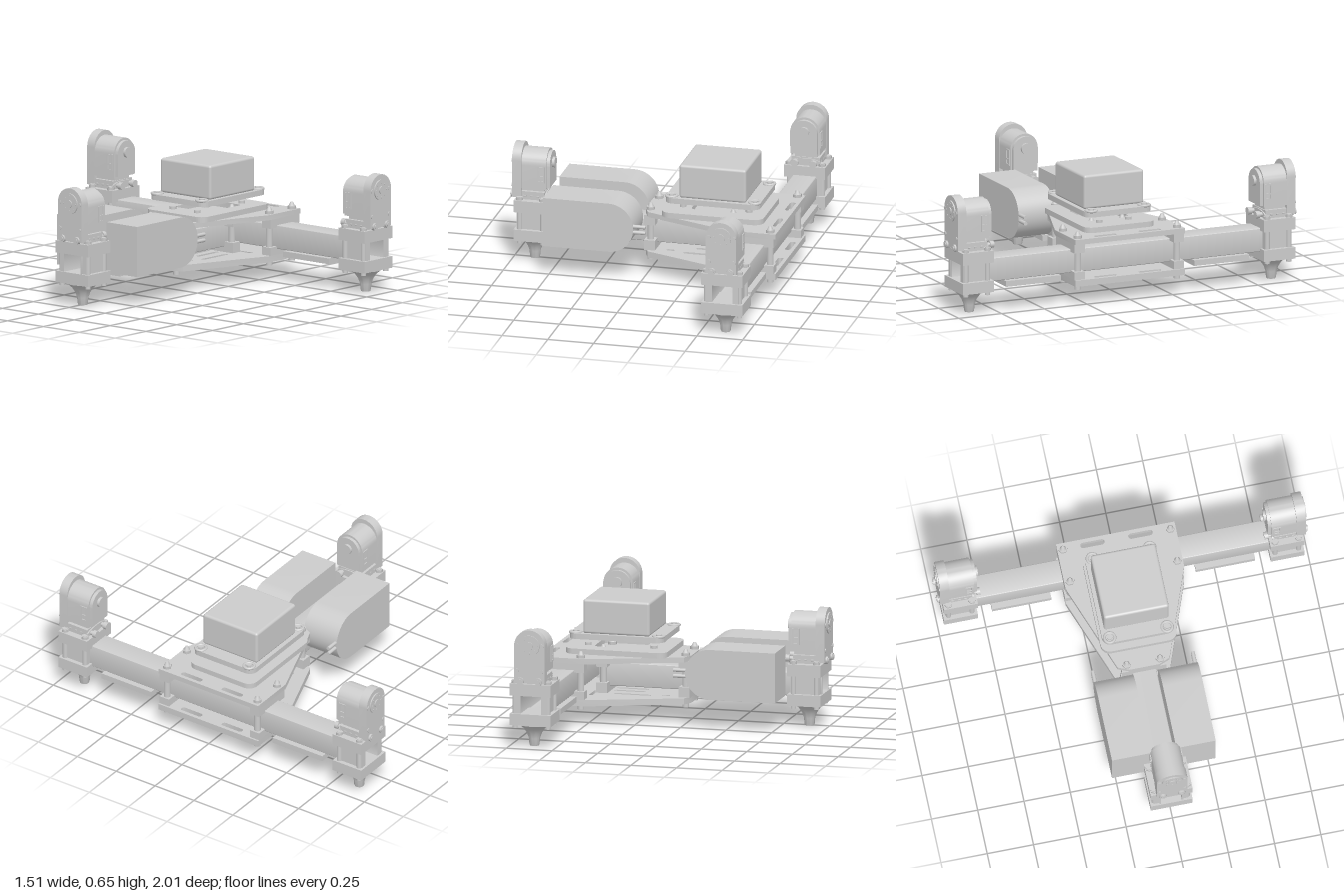
import * as THREE from 'three';
import { RoundedBoxGeometry } from 'three/addons/geometries/RoundedBoxGeometry.js';
import { toCreasedNormals } from 'three/addons/utils/BufferGeometryUtils.js';

const grey = new THREE.MeshStandardMaterial({ color: 0xcccccc });
const sheet = new THREE.MeshStandardMaterial({ color: 0xcccccc, side: THREE.DoubleSide });

function add(parent, name, geo, x = 0, y = 0, z = 0, mat = grey) {
  const m = new THREE.Mesh(geo, mat);
  m.name = name;
  m.position.set(x, y, z);
  parent.add(m);
  return m;
}

// box given by its limits
function block(parent, name, x0, x1, y0, y1, z0, z1) {
  return add(parent, name, new THREE.BoxGeometry(x1 - x0, y1 - y0, z1 - z0),
    (x0 + x1) / 2, (y0 + y1) / 2, (z0 + z1) / 2);
}

// cylinder along y, or along z when asked
function rod(parent, name, r, x, y, z, len, alongZ = false, sides = 16) {
  const m = add(parent, name, new THREE.CylinderGeometry(r, r, len, sides), x, y, z);
  if (alongZ) m.rotation.x = Math.PI / 2;
  return m;
}

const extrude = (shape, depth) => toCreasedNormals(
  new THREE.ExtrudeGeometry(shape, { depth, bevelEnabled: false, curveSegments: 14 }), 0.5);

// horizontal plate drawn in x and z
const plate = (shape, thick) => extrude(shape, thick).rotateX(Math.PI / 2);

// rounded rectangle, as Shape or Path
function roundRect(Type, x0, x1, y0, y1, r) {
  const s = new Type();
  s.absarc(x1 - r, y1 - r, r, 0, Math.PI / 2);
  s.absarc(x0 + r, y1 - r, r, Math.PI / 2, Math.PI);
  s.absarc(x0 + r, y0 + r, r, Math.PI, Math.PI * 1.5);
  s.absarc(x1 - r, y0 + r, r, Math.PI * 1.5, Math.PI * 2);
  s.closePath();
  return s;
}

// upright slab with a half-round top
function arch(r, base, centre) {
  const s = new THREE.Shape();
  s.moveTo(-r, base);
  s.lineTo(r, base);
  s.absarc(0, centre, r, 0, Math.PI);
  s.closePath();
  return s;
}

// square tube along z
function tube(length) {
  const s = roundRect(THREE.Shape, -0.064, 0.064, -0.064, 0.064, 0.006);
  s.holes.push(roundRect(THREE.Path, -0.056, 0.056, -0.056, 0.056, 0.004));
  return extrude(s, length).translate(0, 0, -length / 2);
}

// body plate outline with slots
function bodyPlate(extraSlots) {
  const half = [[-0.015, 0.08], [0.01, 0.14], [0.5, 0.32], [0.755, 0.32]];
  const pts = [...half, ...half.map(([x, z]) => [x, -z]).reverse()];
  const s = new THREE.Shape(pts.map(([x, z]) => new THREE.Vector2(x, z)));
  const slots = [[0.705, 0.735, 0.065, 0.195], [0.1, 0.145, 0.08, 0.1], ...extraSlots];
  for (const [x0, x1, z0, z1] of slots) {
    const r = Math.min(x1 - x0, z1 - z0) * 0.49;
    s.holes.push(roundRect(THREE.Path, x0, x1, z0, z1, r), roundRect(THREE.Path, x0, x1, -z1, -z0, r));
  }
  return s;
}

// arm-end assembly, +z pointing outward
function makeEnd() {
  const g = new THREE.Group();
  g.name = 'armEnd';
  // foot
  const prof = [[0, 0], [0.024, 0], [0.027, 0.008], [0.03, 0.04], [0.04, 0.068], [0.056, 0.092], [0.078, 0.112], [0.086, 0.116], [0.086, 0.125], [0, 0.125]];
  add(g, 'foot', toCreasedNormals(new THREE.LatheGeometry(prof.map(p => new THREE.Vector2(...p)), 28), 0.6));
  // tube clamp
  block(g, 'lowerClamp', -0.113, 0.113, 0.12, 0.182, -0.093, 0.09);
  block(g, 'upperClamp', -0.113, 0.113, 0.28, 0.345, -0.093, 0.09);
  for (const s of [-1, 1]) {
    const x = s * 0.076;
    block(g, 'clampWall', x - 0.014, x + 0.014, 0.18, 0.282, -0.08, 0.078);
    for (const z of [-0.065, 0.062]) {
      rod(g, 'clampBolt', 0.014, s * 0.09, 0.233, z, 0.26, false, 12);
      rod(g, 'clampNut', 0.02, s * 0.09, 0.352, z, 0.016, false, 6);
    }
    // pivot
    rod(g, 'pivotBolt', 0.012, s * 0.05, 0.365, 0.005, 0.23, true, 12);
    for (const e of [-1, 1]) rod(g, 'pivotHead', 0.02, s * 0.05, 0.365, e * 0.105, 0.022, true, 12);
  }
  block(g, 'pivotBase', -0.078, 0.078, 0.345, 0.39, -0.07, 0.07);
  for (let i = -2; i <= 2; i++) rod(g, 'pivotRib', 0.02, 0, 0.365, i * 0.035, 0.014, true).scale.set(4.1, 1, 1);
  // motor housing
  block(g, 'motorNeck', -0.06, 0.06, 0.385, 0.41, -0.065, 0.065);
  add(g, 'motorBody', extrude(arch(0.08, 0.408, 0.535), 0.135), 0, 0, -0.08);
  add(g, 'innerCover', extrude(arch(0.07, 0.415, 0.533), 0.02), 0, 0, -0.098);
  add(g, 'outerCover', extrude(arch(0.083, 0.355, 0.557), 0.05), 0, 0, 0.055);
  // output discs and screws
  rod(g, 'outputDisc', 0.056, 0, 0.557, 0.107, 0.01, true, 32);
  rod(g, 'outputHub', 0.022, 0, 0.557, 0.111, 0.012, true);
  rod(g, 'innerHub', 0.028, 0, 0.54, -0.102, 0.02, true);
  for (let i = 0; i < 8; i++) {
    const a = i * Math.PI / 4;
    rod(g, 'discScrew', 0.006, 0.04 * Math.cos(a), 0.557 + 0.04 * Math.sin(a), 0.112, 0.004, true, 8);
  }
  for (const s of [-1, 1]) {
    for (const y of [0.42, 0.557]) rod(g, 'coverScrew', 0.011, s * 0.068, y, 0.106, 0.006, true, 10);
    // side port frames
    const x = s * 0.081;
    for (const z of [-0.07, -0.036]) block(g, 'portFrame', x - 0.004, x + 0.004, 0.45, 0.53, z - 0.004, z + 0.004);
    for (const y of [0.45, 0.48, 0.53]) block(g, 'portFrame', x - 0.004, x + 0.004, y - 0.004, y + 0.004, -0.074, -0.032);
  }
  return g;
}

export function createModel() {
  const root = new THREE.Group();
  root.name = 'tripodRobot';

  // body plates
  add(root, 'lowerPlate', plate(bodyPlate([[0.2, 0.4, 0.1, 0.125], [0.25, 0.42, 0.02, 0.045], [0.5, 0.52, 0.06, 0.19]]), 0.034), 0, 0.135);
  add(root, 'upperPlate', plate(bodyPlate([]), 0.028), 0, 0.356);

  // square tubes
  add(root, 'crossTube', tube(1.92), 0.628, 0.229, 0);
  add(root, 'longTube', tube(1.22), -0.115, 0.229, 0).rotation.y = Math.PI / 2;

  // tube clamps and bolts between the plates
  for (const s of [-1, 1]) {
    const z = s * 0.29;
    block(root, 'crossClampTop', 0.51, 0.745, 0.28, 0.33, z - 0.03, z + 0.03);
    block(root, 'crossClampBottom', 0.51, 0.745, 0.133, 0.178, z - 0.03, z + 0.03);
    for (const [x, bz] of [[0.535, z], [0.718, z], [0.015, s * 0.09], [0.465, s * 0.09]]) {
      rod(root, 'plateBolt', 0.018, x, 0.23, bz, 0.26, false, 12);
      rod(root, 'boltHead', 0.017, x, 0.092, bz, 0.026);
      rod(root, 'boltNut', 0.024, x, 0.364, bz, 0.016, false, 6);
      add(root, 'boltTip', new THREE.CylinderGeometry(0.008, 0.017, 0.02, 12), x, 0.382, bz);
    }
  }
  for (const x of [0.015, 0.467]) {
    block(root, 'longClampTop', x - 0.03, x + 0.03, 0.275, 0.33, -0.12, 0.12);
    block(root, 'longClampBottom', x - 0.03, x + 0.03, 0.133, 0.19, -0.12, 0.12);
  }

  // batteries with a round end, and their leads
  const cell = new THREE.Shape();
  cell.moveTo(-0.525, 0.165);
  cell.lineTo(-0.168, 0.165);
  cell.absarc(-0.168, 0.3, 0.135, -Math.PI / 2, Math.PI / 2);
  cell.lineTo(-0.525, 0.435);
  cell.closePath();
  for (const s of [-1, 1]) {
    add(root, 'battery', extrude(cell, 0.212), 0, 0, s * 0.174 - 0.106);
    for (const y of [0.283, 0.315]) {
      rod(root, 'batteryLead', 0.01, -0.01, y, s * 0.27, 0.085).rotation.z = Math.PI / 2;
    }
  }

  // controller boards under the arms
  block(root, 'armBoard', -0.45, -0.13, 0.135, 0.166, -0.095, 0.095);
  for (const s of [-1, 1]) {
    block(root, 'armBoard', 0.532, 0.722, 0.135, 0.166, s * 0.55 - 0.16, s * 0.55 + 0.16);
  }

  // stacked instrument trays
  const tray = roundRect(THREE.Shape, 0.095, 0.65, -0.205, 0.205, 0.05);
  tray.holes.push(roundRect(THREE.Path, 0.24, 0.51, -0.12, 0.12, 0.03));
  add(root, 'lowerTray', plate(tray, 0.03), 0, 0.385, 0);
  add(root, 'upperTray', plate(roundRect(THREE.Shape, 0.115, 0.63, -0.195, 0.195, 0.045), 0.03), 0, 0.465, 0);
  for (const x of [0.145, 0.6]) {
    for (const z of [-0.155, 0.155]) {
      const ring = add(root, 'trayRing', new THREE.TorusGeometry(0.028, 0.008, 8, 20), x, 0.466, z);
      ring.rotation.x = Math.PI / 2;
      rod(root, 'trayScrew', 0.014, x, 0.468, z, 0.016);
    }
  }
  for (const [x, kx] of [[0.19, 0.22], [0.55, 0.52]]) {
    for (const z of [-0.085, 0.085]) {
      rod(root, 'trayBolt', 0.018, x, 0.355, z, 0.09);
      rod(root, 'trayKnob', 0.018, kx, 0.428, z, 0.02);
    }
  }

  // instrument box
  add(root, 'instrumentBox', new RoundedBoxGeometry(0.365, 0.185, 0.35, 3, 0.014), 0.373, 0.555, 0);

  // three arm ends
  for (const [x, z, turn] of [[0.628, 0.883, 0], [0.628, -0.883, Math.PI], [-0.64, 0, -Math.PI / 2]]) {
    const end = makeEnd();
    end.position.set(x, 0, z);
    end.rotation.y = turn;
    root.add(end);
  }
  return root;
}
